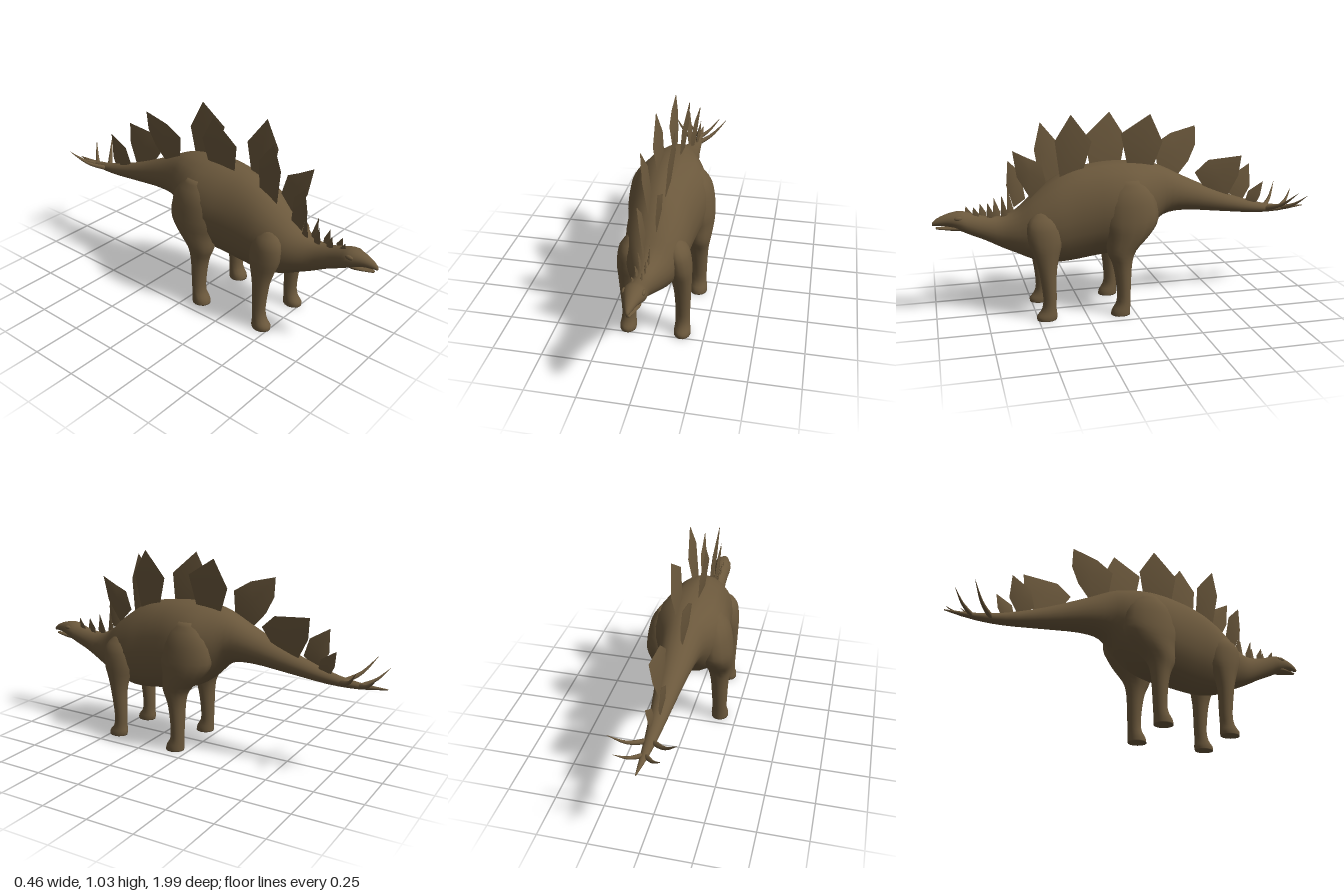
import * as THREE from 'three';

const hide = new THREE.MeshStandardMaterial({ color: 0x6b583c, side: THREE.DoubleSide });
hide.name = 'brown hide';

function part(name, geometry) {
  const mesh = new THREE.Mesh(geometry, hide);
  mesh.name = name;
  return mesh;
}

// Resample rows of numbers with a Catmull-Rom spline
function smoothRows(rows, steps) {
  const out = [];
  for (let i = 0; i < rows.length - 1; i++) {
    const a = rows[Math.max(i - 1, 0)], b = rows[i], c = rows[i + 1];
    const d = rows[Math.min(i + 2, rows.length - 1)];
    for (let s = 0; s < steps; s++) {
      const t = s / steps;
      out.push(b.map((v, k) => 0.5 * (2 * v + (c[k] - a[k]) * t
        + (2 * a[k] - 5 * v + 4 * c[k] - d[k]) * t * t
        + (3 * v - a[k] - 3 * c[k] + d[k]) * t * t * t)));
    }
  }
  out.push(rows[rows.length - 1]);
  return out;
}

// Skin a list of rows; ring(row, angle) gives a point, cap(row) the end centre
function loft(rows, sides, ring, cap) {
  const position = [], index = [];
  const last = rows.length - 1;
  const rings = [[rows[0], cap], ...rows.map(r => [r, ring]), [rows[last], cap]];
  rings.forEach(([row, f]) => {
    for (let j = 0; j < sides; j++) position.push(...f(row, j / sides * Math.PI * 2));
  });
  for (let i = 0; i < rings.length - 1; i++) {
    for (let j = 0; j < sides; j++) {
      const k = (j + 1) % sides;
      const a = i * sides + j, b = i * sides + k, c = a + sides, d = b + sides;
      if (i < rings.length - 2) index.push(a, c, d);
      if (i > 0) index.push(a, d, b);
    }
  }
  const g = new THREE.BufferGeometry();
  g.setAttribute('position', new THREE.Float32BufferAttribute(position, 3));
  g.setIndex(index);
  g.computeVertexNormals();
  return g;
}

// Sections run nose to tail: z, top, bottom, half width
function trunk(rows) {
  return loft(smoothRows(rows, 3), 20,
    ([z, top, bottom, w], a) => [w * Math.cos(a),
      (top + bottom) / 2 + (top - bottom) / 2 * Math.sin(a), z],
    ([z, top, bottom]) => [0, (top + bottom) / 2, z]);
}

// Sections run from the top down: y, centre x, centre z, radius x, radius z
function leg(rows, side) {
  const g = loft(smoothRows(rows, 3), 14,
    ([y, cx, cz, rx, rz], a) => [side * cx + rx * Math.cos(a), y, cz - rz * Math.sin(a)],
    ([y, cx, cz]) => [side * cx, y, cz]);
  return g;
}

// Leaf-shaped back plate: outline in z and y, swollen in the middle, leaning outward
function plate(side, outline, swell = 0.012) {
  const lean = y => side * (0.017 + 0.109 * (y - 0.56));
  const n = outline.length;
  const cz = outline.reduce((s, p) => s + p[0], 0) / n;
  const cy = outline.reduce((s, p) => s + p[1], 0) / n;
  const position = [], index = [];
  [1, -1].forEach((dir, f) => {
    const base = f * (n + 1);
    position.push(lean(cy) + dir * swell, cy, cz);
    outline.forEach(([z, y]) => position.push(lean(y) + dir * 0.001, y, z));
    for (let i = 0; i < n; i++) {
      const a = base + 1 + i, b = base + 1 + (i + 1) % n;
      index.push(base, ...(dir > 0 ? [b, a] : [a, b]));
    }
  });
  const area = outline.reduce((s, p, i) => {
    const q = outline[(i + 1) % n];
    return s + p[0] * q[1] - q[0] * p[1];
  }, 0);
  if (area < 0) index.reverse();
  const g = new THREE.BufferGeometry();
  g.setAttribute('position', new THREE.Float32BufferAttribute(position, 3));
  g.setIndex(index);
  g.computeVertexNormals();
  return g;
}

// Curved spike: a tube tapered to a point
function spike(points, radius) {
  const curve = new THREE.CatmullRomCurve3(points.map(p => new THREE.Vector3(...p)));
  const length = 8, sides = 8;
  const g = new THREE.TubeGeometry(curve, length, radius, sides);
  const p = g.attributes.position, v = new THREE.Vector3();
  for (let i = 0; i < p.count; i++) {
    const t = Math.floor(i / (sides + 1)) / length;
    v.fromBufferAttribute(p, i).lerp(curve.getPointAt(t), Math.pow(t, 1.3));
    p.setXYZ(i, v.x, v.y, v.z);
  }
  g.computeVertexNormals();
  return g;
}

export function createModel() {
  const model = new THREE.Group();
  model.name = 'platedDinosaur';

  // Head, trunk and tail in one skin
  model.add(part('body', trunk([
    [0.995, 0.512, 0.495, 0.006], [0.97, 0.532, 0.495, 0.018], [0.92, 0.552, 0.488, 0.035],
    [0.86, 0.562, 0.462, 0.054], [0.81, 0.55, 0.437, 0.05], [0.74, 0.53, 0.405, 0.048],
    [0.66, 0.525, 0.362, 0.062], [0.58, 0.555, 0.325, 0.098], [0.5, 0.625, 0.288, 0.133],
    [0.4, 0.70, 0.266, 0.155], [0.3, 0.748, 0.27, 0.165], [0.2, 0.77, 0.285, 0.18],
    [0.1, 0.78, 0.30, 0.198], [0, 0.778, 0.335, 0.2], [-0.1, 0.765, 0.405, 0.155],
    [-0.18, 0.74, 0.48, 0.112], [-0.3, 0.68, 0.498, 0.088], [-0.5, 0.59, 0.478, 0.058],
    [-0.7, 0.52, 0.457, 0.035], [-0.85, 0.49, 0.457, 0.02], [-0.995, 0.481, 0.476, 0.003]
  ])));
  model.add(part('lowerJaw', trunk([
    [0.978, 0.487, 0.476, 0.008], [0.94, 0.487, 0.472, 0.022],
    [0.89, 0.495, 0.465, 0.036], [0.84, 0.50, 0.46, 0.03]
  ])));

  [1, -1].forEach(side => {
    const name = side > 0 ? 'left' : 'right';

    // Legs
    model.add(part(name + 'FrontLeg', leg([
      [0.56, 0.09, 0.45, 0.03, 0.04], [0.5, 0.112, 0.46, 0.056, 0.08],
      [0.41, 0.125, 0.455, 0.058, 0.085], [0.33, 0.132, 0.45, 0.05, 0.062],
      [0.25, 0.137, 0.447, 0.042, 0.044], [0.12, 0.137, 0.44, 0.036, 0.034],
      [0.06, 0.137, 0.445, 0.037, 0.037], [0.025, 0.138, 0.456, 0.042, 0.052],
      [0.004, 0.138, 0.458, 0.041, 0.05]
    ], side)));
    model.add(part(name + 'HindLeg', leg([
      [0.7, 0.11, 0.02, 0.05, 0.06], [0.62, 0.125, 0.02, 0.082, 0.125],
      [0.5, 0.135, 0.02, 0.093, 0.145], [0.42, 0.142, 0.035, 0.085, 0.115],
      [0.34, 0.15, 0.07, 0.066, 0.075], [0.27, 0.153, 0.067, 0.051, 0.05],
      [0.18, 0.155, 0.062, 0.044, 0.039], [0.08, 0.157, 0.062, 0.04, 0.035],
      [0.03, 0.157, 0.075, 0.046, 0.047], [0.004, 0.157, 0.078, 0.046, 0.05]
    ], side)));

    // Brow over the eye
    const brow = part(name + 'Brow', new THREE.SphereGeometry(0.014, 10, 8));
    brow.scale.set(0.7, 0.8, 1.5);
    brow.position.set(side * 0.043, 0.533, 0.868);
    model.add(brow);

    // Tail spikes
    model.add(part(name + 'FrontTailSpike', spike(
      [[side * 0.008, 0.475, -0.765], [side * 0.085, 0.51, -0.835], [side * 0.162, 0.588, -0.895]], 0.014)));
    model.add(part(name + 'RearTailSpike', spike(
      [[side * 0.004, 0.473, -0.86], [side * 0.055, 0.50, -0.92], [side * 0.108, 0.556, -0.975]], 0.012)));
  });

  // Back plates, alternating sides from shoulder to tail
  const plates = [
    [-1, [[0.61, 0.795], [0.622, 0.67], [0.59, 0.56], [0.53, 0.6], [0.55, 0.735]]],
    [1, [[0.595, 0.86], [0.575, 0.725], [0.51, 0.61], [0.43, 0.69], [0.455, 0.79], [0.52, 0.82]]],
    [-1, [[0.44, 0.98], [0.475, 0.845], [0.445, 0.65], [0.345, 0.72], [0.35, 0.87]]],
    [1, [[0.305, 1.03], [0.385, 0.9], [0.36, 0.71], [0.245, 0.73], [0.2, 0.89]]],
    [-1, [[0.08, 1.02], [0.215, 0.9], [0.19, 0.74], [0.03, 0.75], [0, 0.89]]],
    [1, [[-0.1, 1.02], [0.05, 0.925], [0.01, 0.75], [-0.12, 0.73], [-0.17, 0.875]]],
    [-1, [[-0.38, 0.935], [-0.245, 0.9], [-0.155, 0.845], [-0.17, 0.73], [-0.27, 0.67], [-0.34, 0.75], [-0.38, 0.835]]],
    [1, [[-0.61, 0.78], [-0.425, 0.765], [-0.355, 0.7], [-0.42, 0.6], [-0.54, 0.55], [-0.6, 0.67]]],
    [-1, [[-0.685, 0.72], [-0.585, 0.66], [-0.56, 0.57], [-0.64, 0.52], [-0.69, 0.6]]],
    [1, [[-0.745, 0.63], [-0.665, 0.58], [-0.65, 0.52], [-0.71, 0.5], [-0.735, 0.55]]]
  ];
  plates.forEach(([side, outline], i) => model.add(part('backPlate' + (i + 1), plate(side, outline))));

  // Small neck plates growing toward the shoulder
  for (let i = 0; i < 7; i++) {
    const z = 0.82 - i * 0.035, h = 0.57 + 0.0022 * i * i;
    model.add(part('neckPlate' + (i + 1), plate(i % 2 ? 1 : -1,
      [[z + 0.008, h + 0.01], [z + 0.014, 0.54], [z + 0.008, 0.49], [z - 0.02, 0.49], [z - 0.02, 0.545]], 0.005)));
  }
  return model;
}
